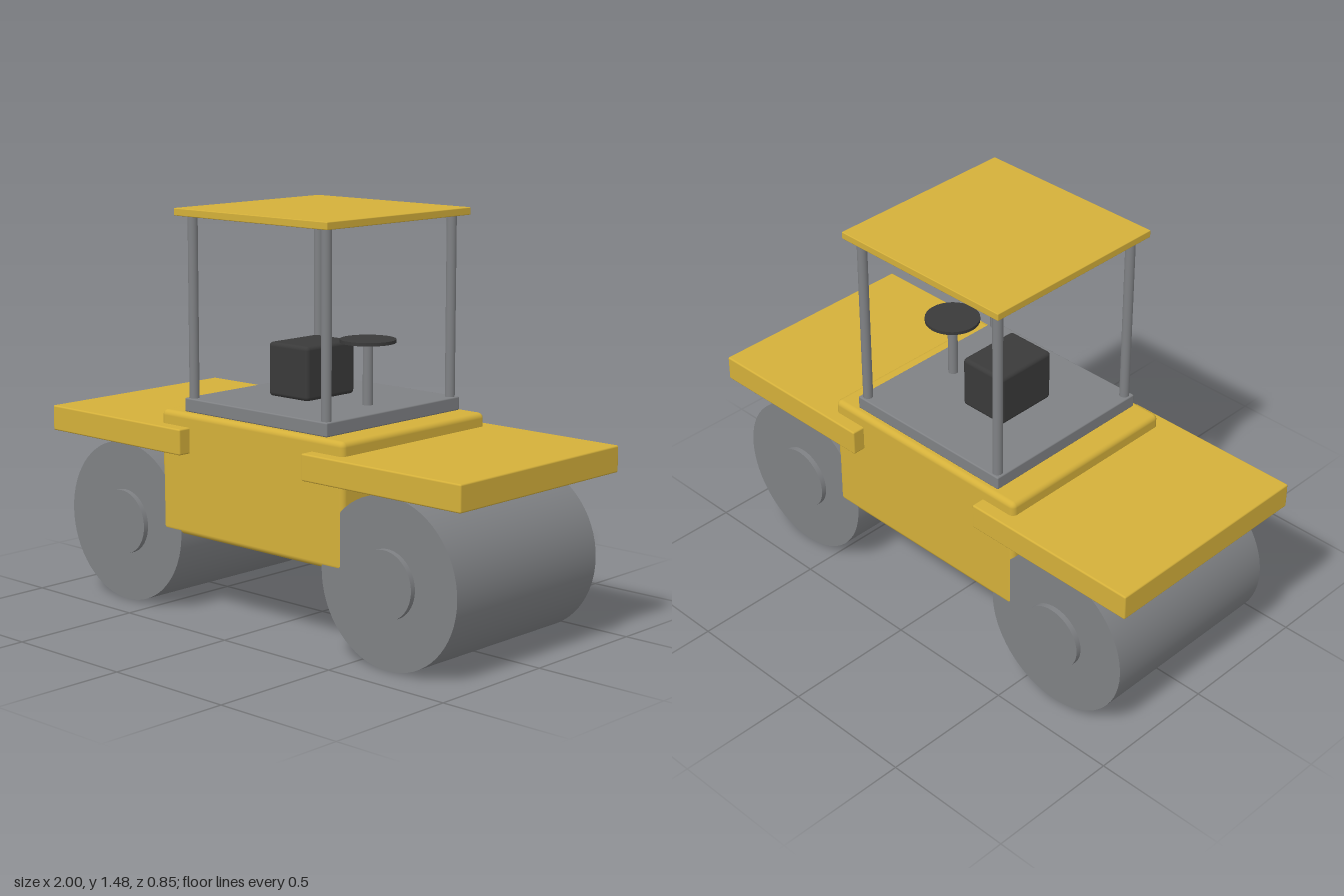
import * as THREE from 'three';
import { RoundedBoxGeometry } from 'three/addons/geometries/RoundedBoxGeometry.js';

export function createModel() {
  const model = new THREE.Group();
  model.name = 'roadRoller';

  const material = (name, color) => {
    const m = new THREE.MeshStandardMaterial({ color });
    m.name = name;
    return m;
  };
  const yellow = material('yellowPaint', 0xd4b03a);
  const steel = material('greySteel', 0x7f8184);
  const dark = material('darkRubber', 0x3a3a3a);

  const add = (name, geometry, mat, x, y, z) => {
    const mesh = new THREE.Mesh(geometry, mat);
    mesh.name = name;
    mesh.position.set(x, y, z);
    model.add(mesh);
    return mesh;
  };
  // Rounded box given by its centre in x, its y range and its size
  const box = (name, mat, x, y0, y1, w, d, r) =>
    add(name, new RoundedBoxGeometry(w, y1 - y0, d, 3, r), mat, x, (y0 + y1) / 2, 0);
  const upright = (name, mat, r, x, y0, y1, z) =>
    add(name, new THREE.CylinderGeometry(r, r, y1 - y0, 32), mat, x, (y0 + y1) / 2, z);
  const roller = (name, r, length, x) => {
    const geometry = new THREE.CylinderGeometry(r, r, length, 64).rotateX(Math.PI / 2);
    return add(name, geometry, steel, x, 0.3, 0);
  };

  // Chassis and operator platform
  box('body', yellow, 0, 0.3, 0.75, 0.896, 0.752, 0.02);
  box('platform', steel, 0, 0.75, 0.8, 0.7, 0.7, 0.005);

  // Drum, hub caps and fender at each end
  for (const side of [-1, 1]) {
    const end = side > 0 ? 'left' : 'right';
    roller(end + 'Drum', 0.3, 0.75, side * 0.65);
    roller(end + 'Hubs', 0.12, 0.79, side * 0.65);
    box(end + 'Fender', yellow, side * 0.65, 0.605, 0.7, 0.7, 0.85, 0.006);
  }

  // Canopy on four posts
  for (const x of [-0.325, 0.325]) {
    for (const z of [-0.325, 0.325]) upright('canopyPost', steel, 0.018, x, 0.8, 1.456, z);
  }
  box('canopy', yellow, 0, 1.455, 1.482, 0.745, 0.745, 0.003);

  // Seat and steering
  box('seat', dark, -0.053, 0.803, 1.0, 0.195, 0.25, 0.015);
  upright('steeringColumn', steel, 0.018, 0.22, 0.8, 1.026, 0);
  upright('steeringWheel', dark, 0.1, 0.22, 1.023, 1.035, 0);

  return model;
}
